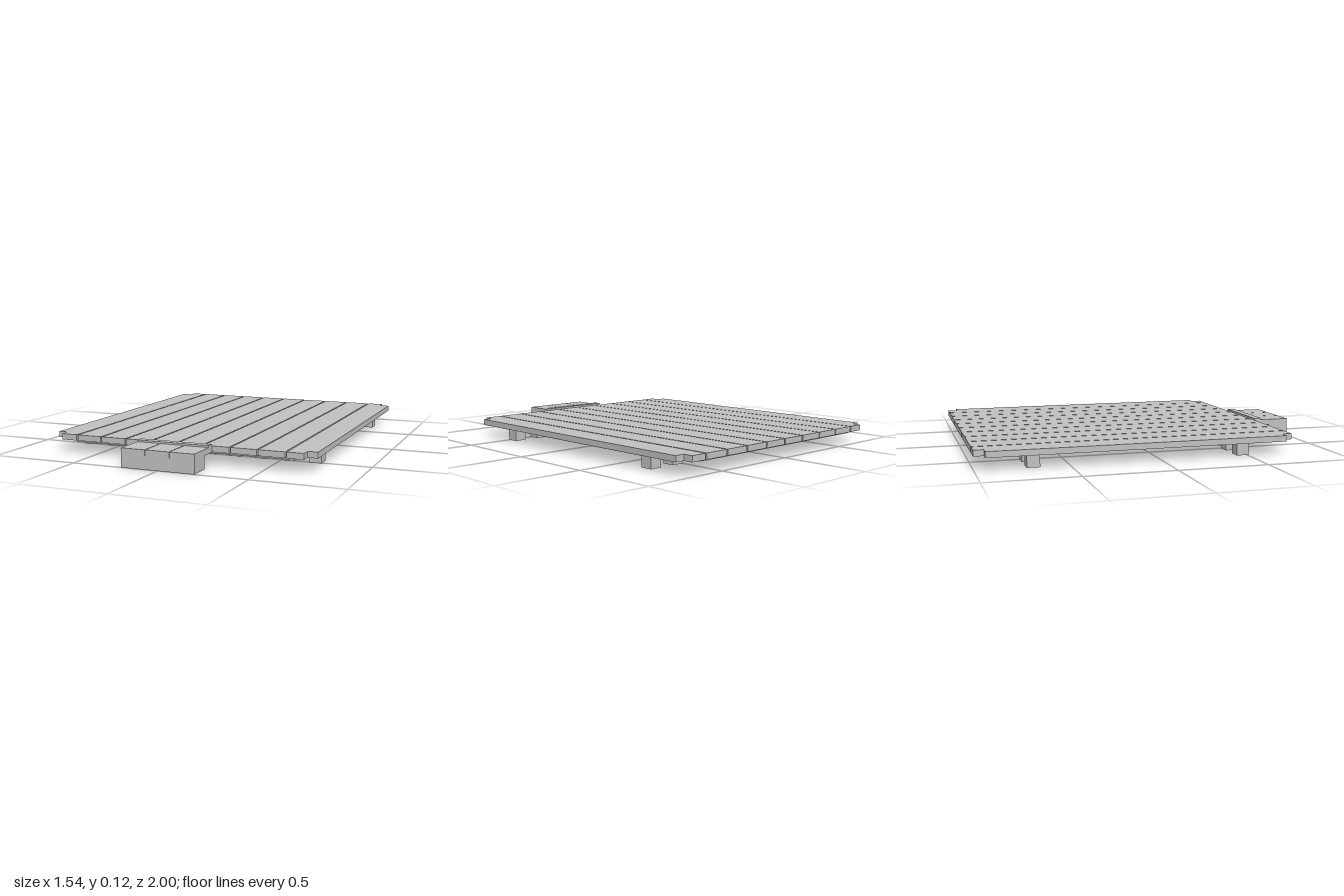
import * as THREE from 'three';

export function createModel() {
  const model = new THREE.Group();
  model.name = 'plankDeck';
  const grey = new THREE.MeshStandardMaterial({ color: 0xc0c0c0 });
  grey.name = 'plainGrey';

  // Box given by its min and max on each axis
  function box(name, x0, x1, y0, y1, z0, z1) {
    const mesh = new THREE.Mesh(new THREE.BoxGeometry(x1 - x0, y1 - y0, z1 - z0), grey);
    mesh.position.set((x0 + x1) / 2, (y0 + y1) / 2, (z0 + z1) / 2);
    mesh.name = name;
    model.add(mesh);
  }

  const pitch = 0.154, gap = 0.008;
  const low = 0.072, top = 0.105, back = -1, front = 0.775;

  // Inner deck planks
  for (let i = -4; i < 4; i++) {
    box('plank', i * pitch + gap / 2, (i + 1) * pitch - gap / 2, low, top, back, front);
  }

  // Outer planks with notched corners
  for (const side of [-1, 1]) {
    const a = 4 * pitch + gap / 2, b = 0.714, c = 0.77;
    const outline = [[a, back], [b, back], [b, -0.945], [c, -0.945],
      [c, 0.718], [b, 0.718], [b, front], [a, front]];
    const shape = new THREE.Shape(outline.map(([x, z]) => new THREE.Vector2(side * x, -z)));
    const geometry = new THREE.ExtrudeGeometry(shape, { depth: top - low, bevelEnabled: false });
    geometry.rotateX(-Math.PI / 2);
    const plank = new THREE.Mesh(geometry, grey);
    plank.position.y = low;
    plank.name = 'notchedPlank';
    model.add(plank);
  }

  // Thin board under the planks
  box('underBoard', -0.63, 0.63, 0.062, low, -0.975, 0.755);

  // Two rows of feet, one foot per plank
  for (const z of [0.475, -0.694]) {
    for (let i = 0; i < 10; i++) {
      const x = (i - 4.5) * pitch;
      const outer = i === 0 || i === 9;
      box('foot', x - 0.035, x + 0.035, 0, outer ? low : 0.062, z - 0.035, z + 0.035);
    }
  }

  // Front step: base block, three short boards and a raised lip
  box('stepBase', -0.21, 0.21, 0, low, 0.878, 1);
  const edges = [-0.21, -0.07, 0.07, 0.21];
  for (let i = 0; i < 3; i++) {
    const x0 = edges[i] + (i > 0 ? 0.002 : 0);
    const x1 = edges[i + 1] - (i < 2 ? 0.002 : 0);
    box('stepBoard', x0, x1, low, top, 0.822, 1);
  }
  box('stepLip', -0.21, 0.21, low, 0.115, 0.779, 0.822);

  return model;
}
